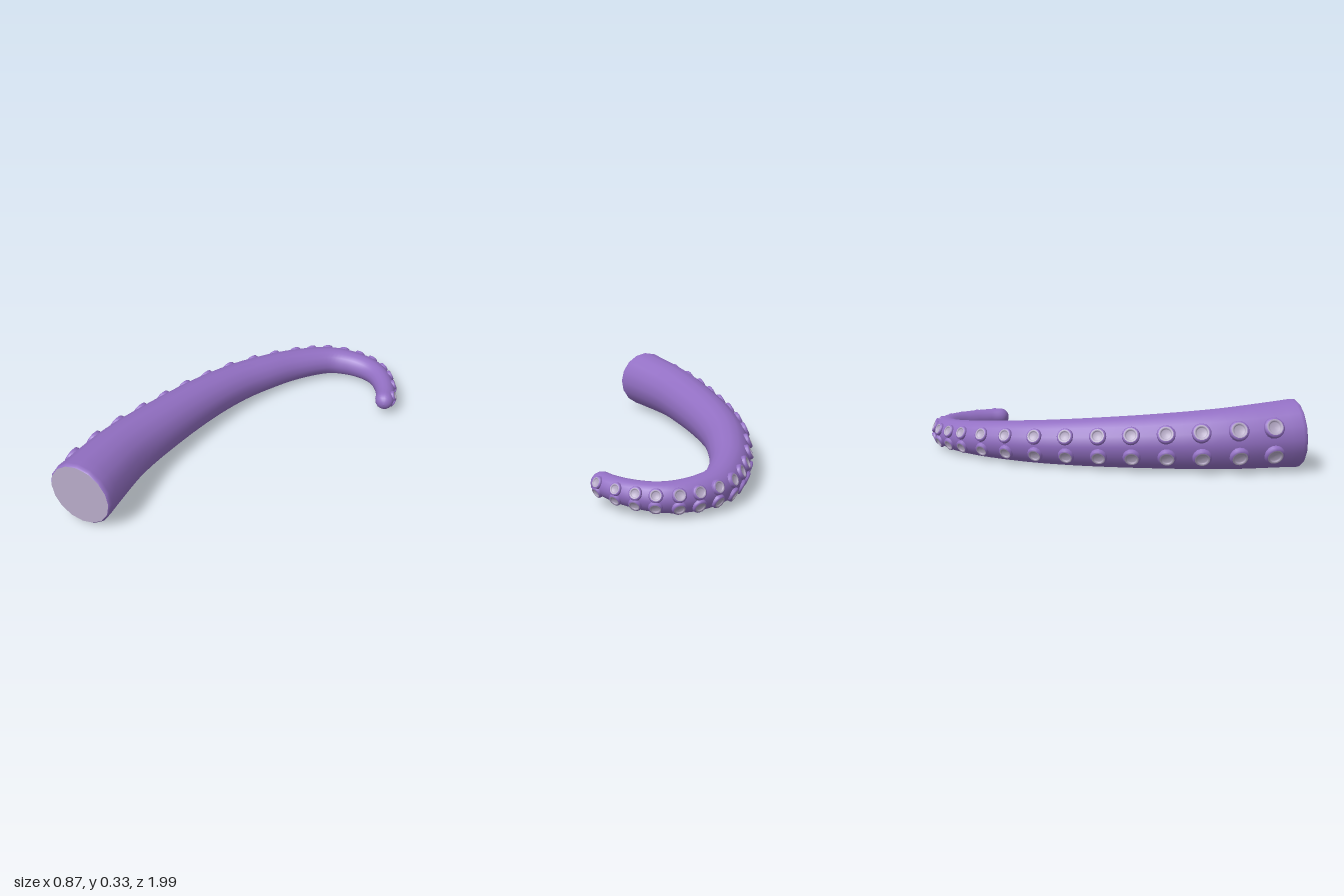
import * as THREE from 'three';

const SIDES = 16;

// Centreline stations from the cut base to the tip: x, y, z, radius
const STATIONS = [
  [-0.11, 0.17, 0.935, 0.165], [-0.222, 0.15, 0.6, 0.147], [-0.27, 0.135, 0.3, 0.132],
  [-0.293, 0.122, 0, 0.119], [-0.285, 0.111, -0.25, 0.108], [-0.248, 0.102, -0.45, 0.099],
  [-0.19, 0.093, -0.64, 0.089], [-0.095, 0.085, -0.815, 0.079], [0.01, 0.081, -0.893, 0.073],
  [0.12, 0.08, -0.921, 0.067], [0.215, 0.082, -0.905, 0.061], [0.3, 0.085, -0.85, 0.056],
  [0.36, 0.088, -0.785, 0.052], [0.393, 0.09, -0.73, 0.05],
];

// Sucker pairs along the outer edge: x, z
const SUCKERS = [
  [-0.31, 0.84], [-0.355, 0.68], [-0.39, 0.51], [-0.41, 0.35], [-0.42, 0.19], [-0.42, 0.03],
  [-0.415, -0.13], [-0.395, -0.29], [-0.37, -0.45], [-0.33, -0.59], [-0.275, -0.72],
  [-0.222, -0.815], [-0.153, -0.894], [-0.063, -0.952], [0.03, -0.984], [0.12, -0.99],
  [0.217, -0.974], [0.296, -0.936], [0.365, -0.868], [0.418, -0.772],
];

const UP = new THREE.Vector3(0, 1, 0);
const path = new THREE.CatmullRomCurve3(
  STATIONS.map(([x, y, z]) => new THREE.Vector3(x, y, z)), false, 'catmullrom', 0.5);
const girth = new THREE.CatmullRomCurve3(
  STATIONS.map((s) => new THREE.Vector3(s[3], 0, 0)), false, 'catmullrom', 0.5);

// Position, radius and axes at t: forward, out (sucker side) and up
function frameAt(t) {
  const forward = path.getTangent(t);
  const out = new THREE.Vector3().crossVectors(UP, forward).normalize();
  const up = new THREE.Vector3().crossVectors(forward, out);
  return { p: path.getPoint(t), r: girth.getPoint(t).x, forward, out, up };
}

function radial(f, angle) {
  return f.out.clone().multiplyScalar(Math.cos(angle)).addScaledVector(f.up, Math.sin(angle));
}

// Tapered skin with a softened base rim and a round tip
function armGeometry() {
  const rings = [];
  const add = (f, shift, scale) => rings.push({ f, shift, scale });
  const start = frameAt(0), end = frameAt(1);
  add(start, 0, 0.95);
  add(start, 0.006, 0.985);
  add(start, 0.02, 1);
  const steps = 64;
  for (let i = 1; i <= steps; i++) add(frameAt(i / steps), 0, 1);
  for (let i = 1; i <= 6; i++) {
    const a = (i / 6) * Math.PI / 2;
    add(end, Math.sin(a) * end.r, Math.max(Math.cos(a), 0.001));
  }
  const pos = [], index = [];
  rings.forEach(({ f, shift, scale }, i) => {
    for (let j = 0; j < SIDES; j++) {
      const v = f.p.clone().addScaledVector(f.forward, shift)
        .addScaledVector(radial(f, (j / SIDES) * Math.PI * 2), f.r * scale);
      pos.push(v.x, v.y, v.z);
      if (i === 0) continue;
      const k = (j + 1) % SIDES, b = i * SIDES, a = b - SIDES;
      index.push(a + j, a + k, b + j, a + k, b + k, b + j);
    }
  });
  const g = new THREE.BufferGeometry();
  g.setAttribute('position', new THREE.Float32BufferAttribute(pos, 3));
  g.setIndex(index);
  g.computeVertexNormals();
  return g;
}

function lathe(points) {
  return new THREE.LatheGeometry(points.map(([x, y]) => new THREE.Vector2(x, y)), 16);
}

export function createModel() {
  const purple = new THREE.MeshStandardMaterial({ color: 0x9370c4 });
  purple.name = 'purple skin';
  const pale = new THREE.MeshStandardMaterial({ color: 0xb5a9c6 });
  pale.name = 'pale flesh';

  const model = new THREE.Group();
  model.name = 'tentacle';
  const part = (name, geometry, material, parent = model) => {
    const m = new THREE.Mesh(geometry, material);
    m.name = name;
    parent.add(m);
    return m;
  };

  part('arm', armGeometry(), purple);

  // Flat cut face at the base
  const base = frameAt(0);
  const cap = part('cutFace', new THREE.CircleGeometry(base.r * 0.95, SIDES), pale);
  cap.quaternion.setFromRotationMatrix(new THREE.Matrix4().makeBasis(
    base.out, base.up.clone().negate(), base.forward.clone().negate()));
  cap.position.copy(base.p);

  // Unit sucker: purple collar around a pale cup
  const collar = lathe([[1.05, -0.5], [1, 0.12], [0.93, 0.28], [0.78, 0.33]]);
  const cup = lathe([[0.78, 0.33], [0.66, 0.34], [0.56, 0.28], [0.5, 0.14], [0, 0.12]]);

  const samples = Array.from({ length: 801 }, (_, i) => i / 800);
  SUCKERS.forEach(([x, z]) => {
    // Nearest point of the centreline
    let best = 0, bestD = Infinity;
    for (const t of samples) {
      const p = path.getPoint(t), d = Math.hypot(p.x - x, p.z - z);
      if (d < bestD) { bestD = d; best = t; }
    }
    const f = frameAt(best);
    for (const side of [1, -1]) {
      const normal = radial(f, side * 0.43);
      const sucker = new THREE.Group();
      sucker.name = side > 0 ? 'upperSucker' : 'lowerSucker';
      sucker.position.copy(f.p).addScaledVector(normal, f.r * 0.985);
      sucker.quaternion.setFromUnitVectors(UP, normal);
      sucker.scale.setScalar(0.017 + 0.2 * f.r);
      part('suckerCollar', collar, purple, sucker);
      part('suckerCup', cup, pale, sucker);
      model.add(sucker);
    }
  });
  return model;
}
